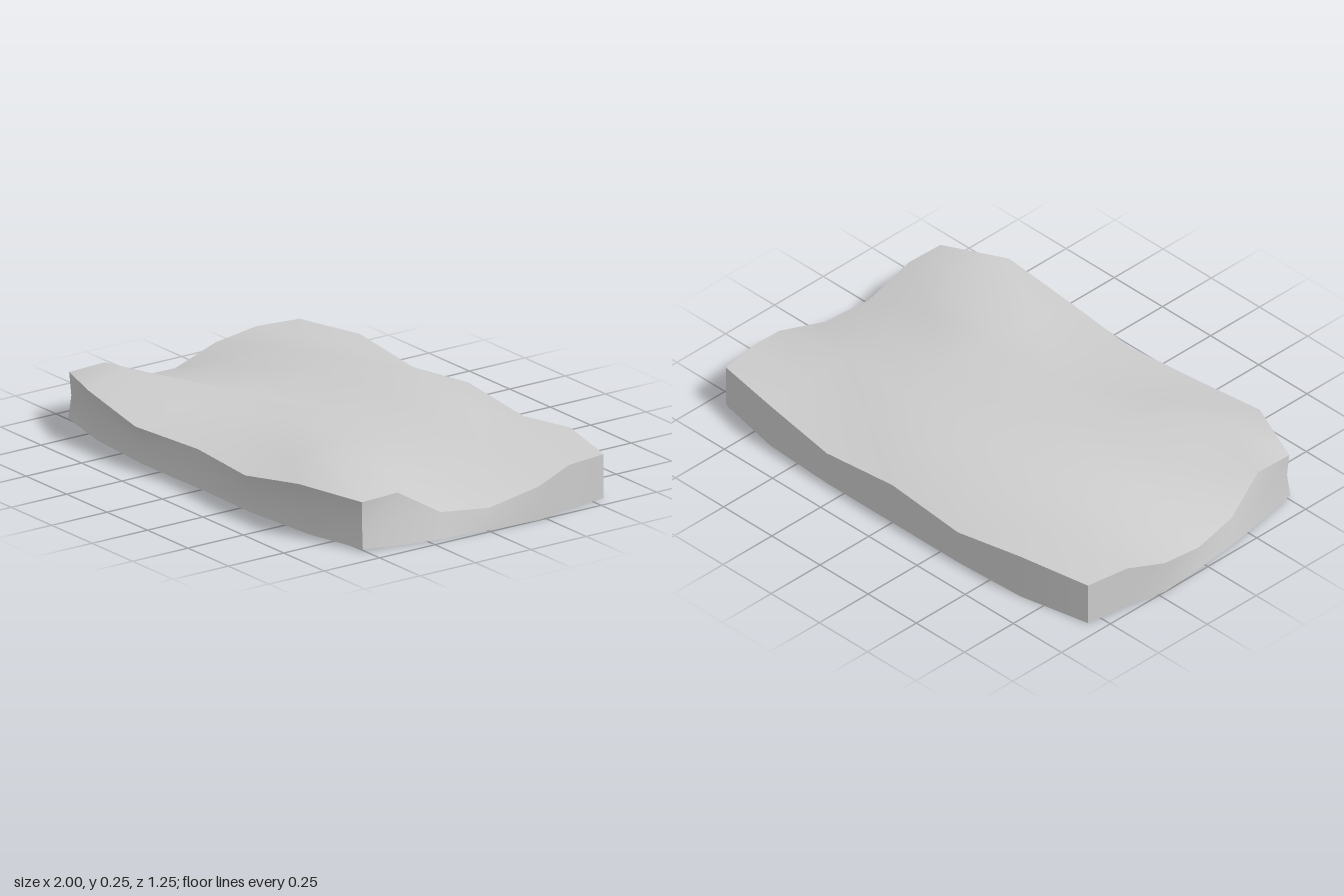
import * as THREE from 'three';
import { toCreasedNormals } from 'three/addons/utils/BufferGeometryUtils.js';

// Half of the slab, rows from front to back, columns from the middle to the side
const X = [0, 0.34, 0.65];
const SIDE_X = [0.905, 0.905, 0.94, 0.97, 1.0, 0.965, 0.94];
const FOOT_X = [0.91, 0.935, 0.965, 0.985, 1.0, 0.965, 0.94];
const Z = [
  [0.59, 0.625, 0.61, 0.51],
  [0.42, 0.42, 0.42, 0.35],
  [0.19, 0.19, 0.19, 0.18],
  [-0.015, -0.015, -0.015, -0.015],
  [-0.22, -0.22, -0.22, -0.22],
  [-0.42, -0.42, -0.42, -0.38],
  [-0.63, -0.63, -0.615, -0.555],
];
const Y = [
  [0.16, 0.16, 0.21, 0.19],
  [0.18, 0.19, 0.255, 0.195],
  [0.21, 0.215, 0.165, 0.095],
  [0.2, 0.205, 0.18, 0.08],
  [0.23, 0.205, 0.205, 0.13],
  [0.25, 0.2, 0.2, 0.17],
  [0.17, 0.135, 0.18, 0.17],
];
const FRONT_FOOT_Z = [0.59, 0.595, 0.57, 0.51];
const N = 7;

// Upper surface point at row r, column c (0..6, left to right in x)
function topPoint(r, c) {
  const k = Math.abs(c - 3);
  const x = k === 3 ? SIDE_X[r] : X[k];
  return [Math.sign(c - 3) * x, Y[r][k], Z[r][k]];
}

// Underside point below it, the front edge lifted a touch
function footPoint(r, c) {
  const k = Math.abs(c - 3);
  const x = k === 3 ? FOOT_X[r] : X[k];
  return [Math.sign(c - 3) * x, r === 0 ? 0.01 : 0, r === 0 ? FRONT_FOOT_Z[k] : Z[r][k]];
}

// Waist of the wall, pinched in slightly at the front
function waistPoint(r, c) {
  const a = topPoint(r, c), b = footPoint(r, c);
  const p = a.map((v, i) => (v + b[i]) / 2);
  if (r === 0) {
    p[0] *= 0.99;
    p[2] = Math.min(b[2], a[2]) - 0.005;
  }
  return p;
}

function build(points, index) {
  const g = new THREE.BufferGeometry();
  g.setAttribute('position', new THREE.Float32BufferAttribute(points.flat(), 3));
  g.setIndex(index);
  g.computeVertexNormals();
  return g;
}

// Grid sheet with diagonals mirrored about the middle
function sheet(point, up) {
  const points = [], index = [];
  for (let r = 0; r < N; r++) for (let c = 0; c < N; c++) points.push(point(r, c));
  for (let r = 0; r < N - 1; r++) {
    for (let c = 0; c < N - 1; c++) {
      const a = r * N + c, b = a + 1, d = a + N, e = d + 1;
      const tris = c < 3 ? [[a, b, e], [a, e, d]] : [[a, b, d], [b, e, d]];
      for (const [i, j, k] of tris) index.push(...(up ? [i, j, k] : [i, k, j]));
    }
  }
  return build(points, index);
}

// Wall strip round the rim, counter-clockwise seen from above
function wall() {
  const rim = [];
  for (let i = 0; i < N - 1; i++) rim.push([0, i]);
  for (let i = 0; i < N - 1; i++) rim.push([i, N - 1]);
  for (let i = N - 1; i > 0; i--) rim.push([N - 1, i]);
  for (let i = N - 1; i > 0; i--) rim.push([i, 0]);
  const n = rim.length, points = [], index = [];
  for (const f of [footPoint, waistPoint, topPoint]) for (const [r, c] of rim) points.push(f(r, c));
  for (let l = 0; l < 2; l++) {
    for (let i = 0; i < n; i++) {
      const a = l * n + i, b = l * n + (i + 1) % n;
      index.push(a, b, b + n, a, b + n, a + n);
    }
  }
  return toCreasedNormals(build(points, index), 0.75);
}

export function createModel() {
  const group = new THREE.Group();
  group.name = 'cushionSlab';
  const material = new THREE.MeshStandardMaterial({ color: 0xcccccc });
  const add = (name, geometry) => {
    const mesh = new THREE.Mesh(geometry, material);
    mesh.name = name;
    group.add(mesh);
  };
  add('upperSurface', sheet(topPoint, true));
  add('sideWall', wall());
  add('underside', sheet(footPoint, false));
  return group;
}
